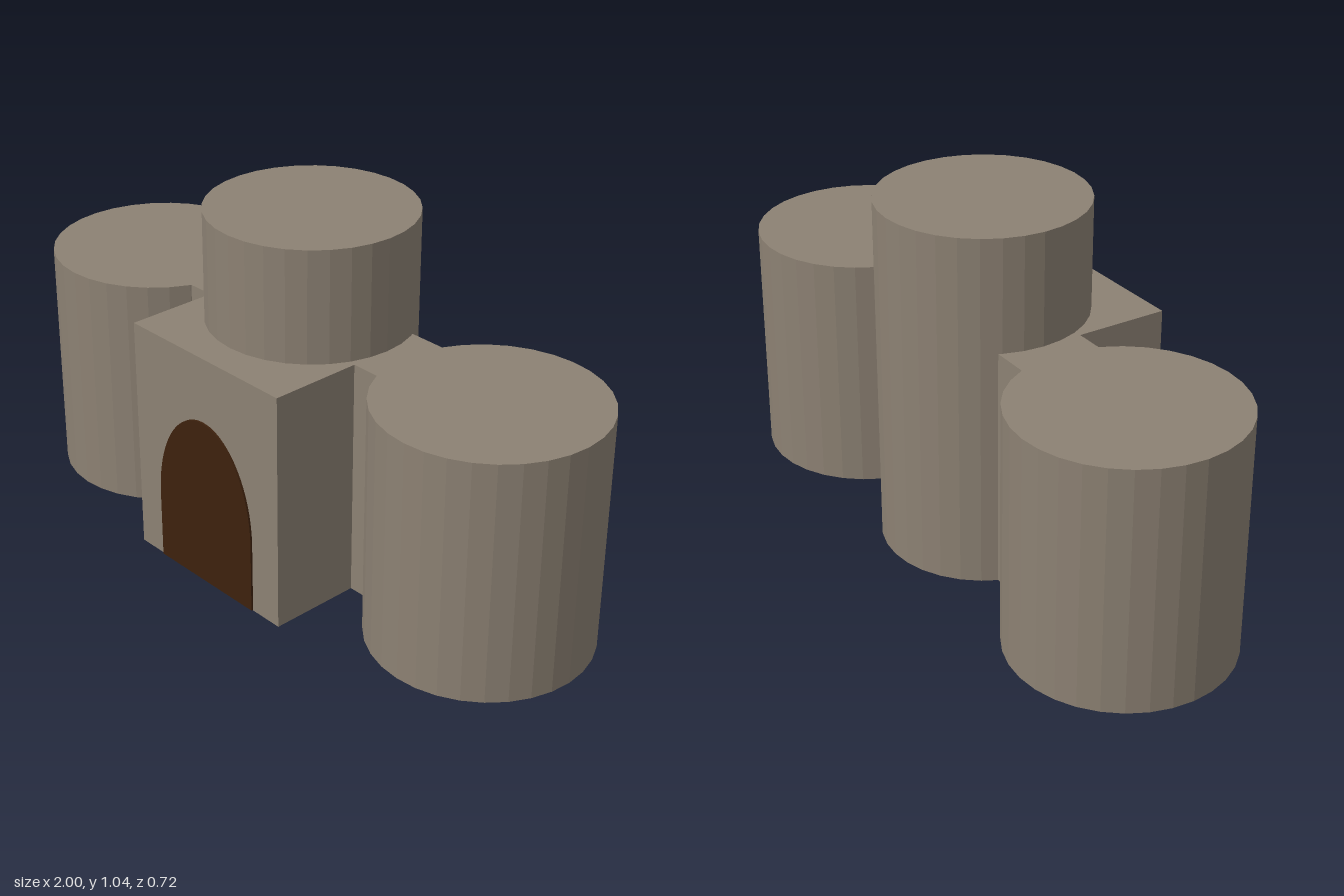
import * as THREE from 'three';

export function createModel() {
  const model = new THREE.Group();
  const stone = new THREE.MeshStandardMaterial({ color: 0x8c8173, flatShading: true });
  stone.name = 'stone';
  const wood = new THREE.MeshStandardMaterial({ color: 0x3d210d });
  wood.name = 'darkWood';

  const AXIS_Z = -0.04;
  const WALL_HEIGHT = 0.713;

  const add = (name, geometry, material, x, y, z) => {
    const mesh = new THREE.Mesh(geometry, material);
    mesh.name = name;
    mesh.position.set(x, y, z);
    model.add(mesh);
  };
  const tower = (name, radius, height, x) =>
    add(name, new THREE.CylinderGeometry(radius, radius, height, 32), stone, x, height / 2, AXIS_Z);
  const block = (name, x0, x1, z0, z1) =>
    add(name, new THREE.BoxGeometry(x1 - x0, WALL_HEIGHT, z1 - z0), stone,
      (x0 + x1) / 2, WALL_HEIGHT / 2, (z0 + z1) / 2);

  // Tall central keep with a lower tower on each side
  tower('centralTower', 0.3, 1.043, 0);
  tower('leftTower', 0.32, WALL_HEIGHT, 0.678);
  tower('rightTower', 0.32, WALL_HEIGHT, -0.678);

  // Short walls joining the side towers to the keep
  block('leftWall', 0.2, 0.42, -0.165, 0.08);
  block('rightWall', -0.42, -0.2, -0.165, 0.08);

  // Square gatehouse in front of the keep
  block('gatehouse', -0.297, 0.297, AXIS_Z, 0.356);

  // Arched door: straight jambs under a half ellipse
  const arch = new THREE.Shape();
  arch.moveTo(-0.195, 0);
  arch.lineTo(0.195, 0);
  arch.lineTo(0.195, 0.21);
  arch.absellipse(0, 0.21, 0.195, 0.305, 0, Math.PI, false);
  arch.closePath();
  const doorGeometry = new THREE.ExtrudeGeometry(arch, { depth: 0.007, bevelEnabled: false, curveSegments: 24 });
  add('door', doorGeometry, wood, -0.003, 0.002, 0.355);

  return model;
}
